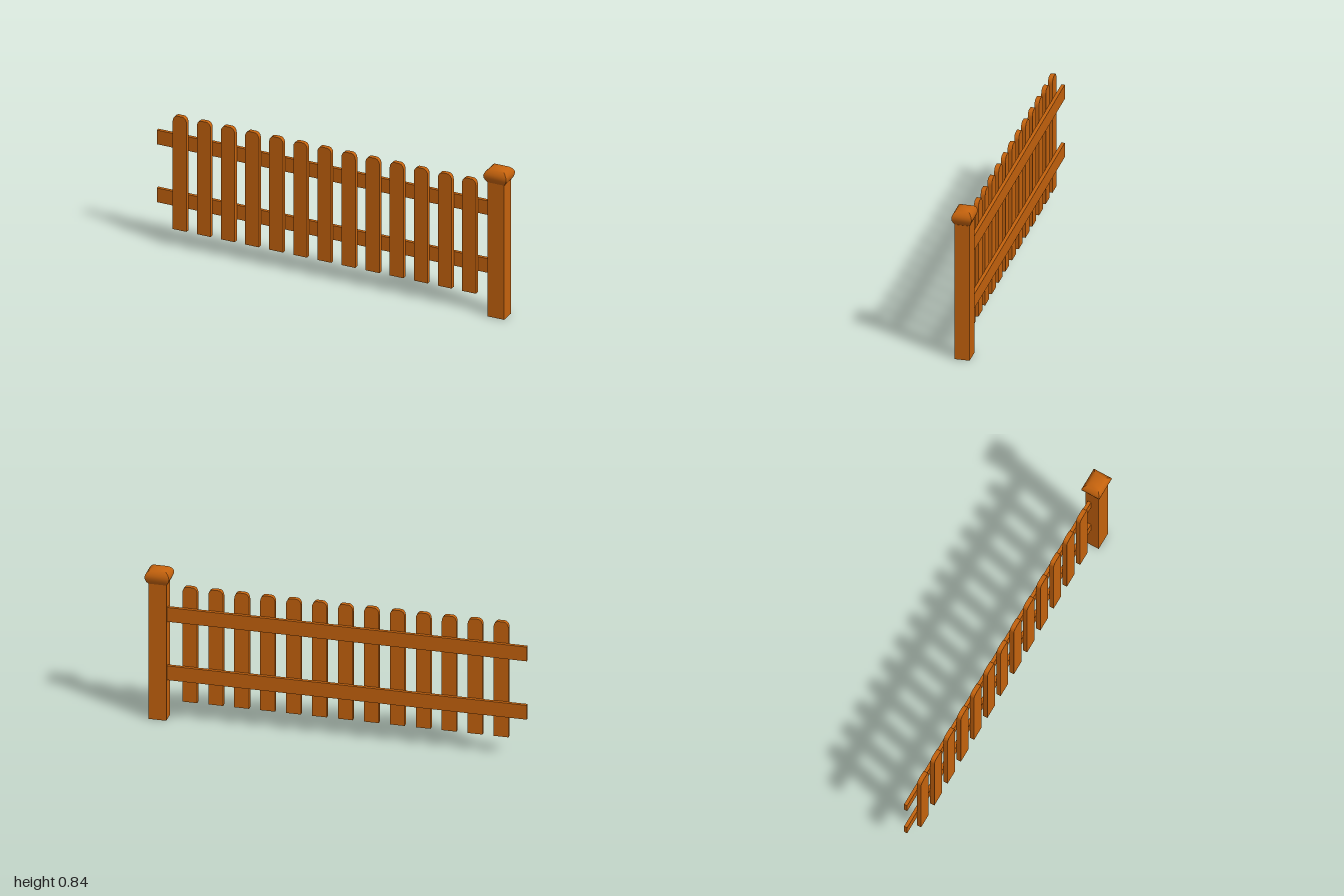
import * as THREE from 'three';
import { toCreasedNormals } from 'three/addons/utils/BufferGeometryUtils.js';

export function createModel() {
  const fence = new THREE.Group();
  fence.name = 'picketFence';
  const wood = new THREE.MeshStandardMaterial({ color: 0xc4620d });
  wood.name = 'orange brown wood';

  const add = (name, geometry, x, y, z) => {
    const mesh = new THREE.Mesh(geometry, wood);
    mesh.name = name;
    mesh.position.set(x, y, z);
    fence.add(mesh);
    return mesh;
  };

  // Post at the model's left end
  const postX = 0.935;
  add('post', new THREE.BoxGeometry(0.094, 0.765, 0.078), postX, 0.3825, 0);

  // Square cap with a bulging, domed profile: [half depth, height]
  const profile = [
    [0.039, 0.76], [0.046, 0.772], [0.051, 0.786], [0.053, 0.8], [0.0505, 0.812],
    [0.045, 0.823], [0.036, 0.833], [0.024, 0.84], [0.012, 0.8435], [0, 0.8445],
  ].map(([r, y]) => new THREE.Vector2(r * Math.SQRT2, y));
  const cap = new THREE.LatheGeometry(profile, 4, Math.PI / 4);
  cap.scale(1.22, 1, 1);
  add('postCap', toCreasedNormals(cap, 0.7), postX, 0, 0);

  // Two rails running behind the pickets into the post
  for (const [name, y] of [['lowerRail', 0.262], ['upperRail', 0.59]]) {
    add(name, new THREE.BoxGeometry(1.9, 0.08, 0.018), -0.05, y, -0.015);
  }

  // Picket outline with softly rounded top corners
  const w = 0.039, bottom = 0.102, top = 0.747;
  const outline = new THREE.Shape();
  outline.moveTo(-w, bottom);
  outline.lineTo(w, bottom);
  outline.lineTo(w, top - 0.034);
  outline.bezierCurveTo(w, top - 0.012, w - 0.012, top, w - 0.026, top);
  outline.lineTo(-w + 0.026, top);
  outline.bezierCurveTo(-w + 0.012, top, -w, top - 0.012, -w, top - 0.034);
  outline.closePath();
  const picket = toCreasedNormals(
    new THREE.ExtrudeGeometry(outline, { depth: 0.024, bevelEnabled: false, curveSegments: 6 }), 0.7);

  // Thirteen evenly spaced pickets
  for (let i = 0; i < 13; i++) {
    add('picket' + (i + 1), picket, -0.86 + i * 0.1361, 0, -0.006);
  }
  return fence;
}
